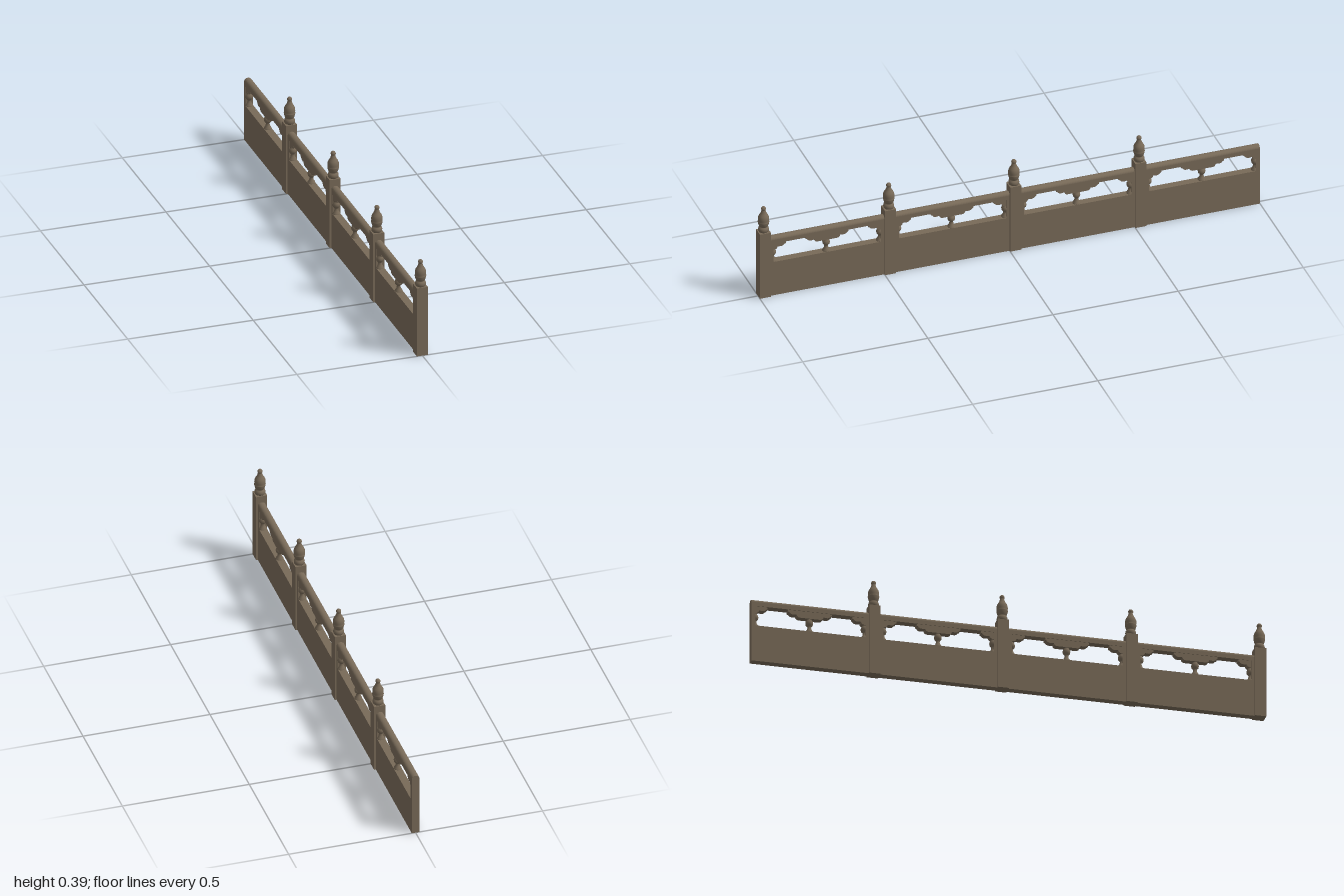
import * as THREE from 'three';

export function createModel() {
  const group = new THREE.Group();
  const wood = new THREE.MeshStandardMaterial({ color: 0x786a58 });
  wood.name = 'weathered brown';

  const add = (name, geometry, x = 0, y = 0, z = 0) => {
    const mesh = new THREE.Mesh(geometry, wood);
    mesh.name = name;
    mesh.position.set(x, y, z);
    group.add(mesh);
    return mesh;
  };
  const box = (name, w, y0, y1, z0, z1) =>
    add(name, new THREE.BoxGeometry(w, y1 - y0, z1 - z0), 0, (y0 + y1) / 2, (z0 + z1) / 2);
  const lathe = (points, segments) =>
    new THREE.LatheGeometry(points.map(([r, y]) => new THREE.Vector2(r, y)), segments);

  const T = 0.03;      // panel thickness
  const PITCH = 0.5;   // post spacing
  const FIRST = 0.978; // centre of the front post

  // Solid lower panel
  box('lowerPanel', T, 0, 0.147, -1, 0.99);

  // Top rail with a rounded upper side
  const section = new THREE.Shape();
  section.moveTo(-T / 2, 0.228);
  section.lineTo(T / 2, 0.228);
  section.lineTo(T / 2, 0.243);
  section.absellipse(0, 0.243, T / 2, 0.013, 0, Math.PI, false);
  section.lineTo(-T / 2, 0.228);
  add('topRail', new THREE.ExtrudeGeometry(section, { depth: 1.99, bevelEnabled: false, curveSegments: 12 }), 0, 0, -1);

  // Turned finial profile
  const finial = lathe([
    [0, 0.283], [0.017, 0.283], [0.02, 0.287], [0.0208, 0.294], [0.019, 0.301], [0.015, 0.304],
    [0.0155, 0.306], [0.0185, 0.311], [0.0205, 0.318], [0.022, 0.325], [0.022, 0.327], [0.0205, 0.328],
    [0.0215, 0.335], [0.021, 0.345], [0.018, 0.353], [0.0135, 0.36], [0.01, 0.367], [0.008, 0.375],
    [0.0075, 0.377], [0.0098, 0.38], [0.0095, 0.385], [0.006, 0.39], [0, 0.392],
  ], 24);

  // Small vase-shaped baluster under each bracket
  const vase = lathe([
    [0.015, 0.147], [0.0145, 0.151], [0.009, 0.159], [0.007, 0.168], [0.008, 0.172],
    [0.013, 0.177], [0.015, 0.185], [0.013, 0.193], [0.009, 0.198], [0.009, 0.206],
  ], 16);

  // Half of a lobed bracket, reaching out from its centre line
  const bracketHalf = (inner) => {
    const s = new THREE.Shape();
    s.moveTo(inner, 0.23);
    s.lineTo(inner, 0.2);
    s.lineTo(0.038, 0.2);
    s.quadraticCurveTo(0.05, 0.2, 0.052, 0.211);
    s.lineTo(0.056, 0.211);
    s.quadraticCurveTo(0.074, 0.207, 0.08, 0.218);
    s.lineTo(0.085, 0.22);
    s.lineTo(0.085, 0.23);
    const g = new THREE.ExtrudeGeometry(s, { depth: 0.026, bevelEnabled: false, curveSegments: 6 });
    return g.translate(0, 0, -0.013).rotateY(-Math.PI / 2);
  };
  const bracket = bracketHalf(0);
  const endBracket = bracketHalf(0.022);
  const addBracket = (z, side, geometry = bracket) => {
    const mesh = add('bracket', geometry, 0, 0, z);
    if (side < 0) mesh.rotation.y = Math.PI;
  };

  for (let i = 0; i < 4; i++) {
    const z = FIRST - i * PITCH;
    // Post and finial
    box('post', 0.044, 0, 0.283, z - 0.022, z + 0.022);
    add('finial', finial, 0, 0, z);

    // Stiles, half balusters and brackets beside the post
    for (const side of i === 0 ? [-1] : [-1, 1]) {
      const a = z + side * 0.018, b = z + side * 0.035;
      box('stile', T, 0.147, 0.23, Math.min(a, b), Math.max(a, b));
      add('sideBaluster', vase, 0, 0, b);
      addBracket(z, side);
    }

    // Baluster and bracket in the middle of the opening
    const mid = z - PITCH / 2;
    add('middleBaluster', vase, 0, 0, mid);
    addBracket(mid, 1);
    addBracket(mid, -1);
  }

  // Plain rear end, where the next post would follow
  box('endStile', T, 0.147, 0.23, -1, -0.985);
  add('sideBaluster', vase, 0, 0, -0.985);
  addBracket(FIRST - 4 * PITCH, 1, endBracket);

  return group;
}
